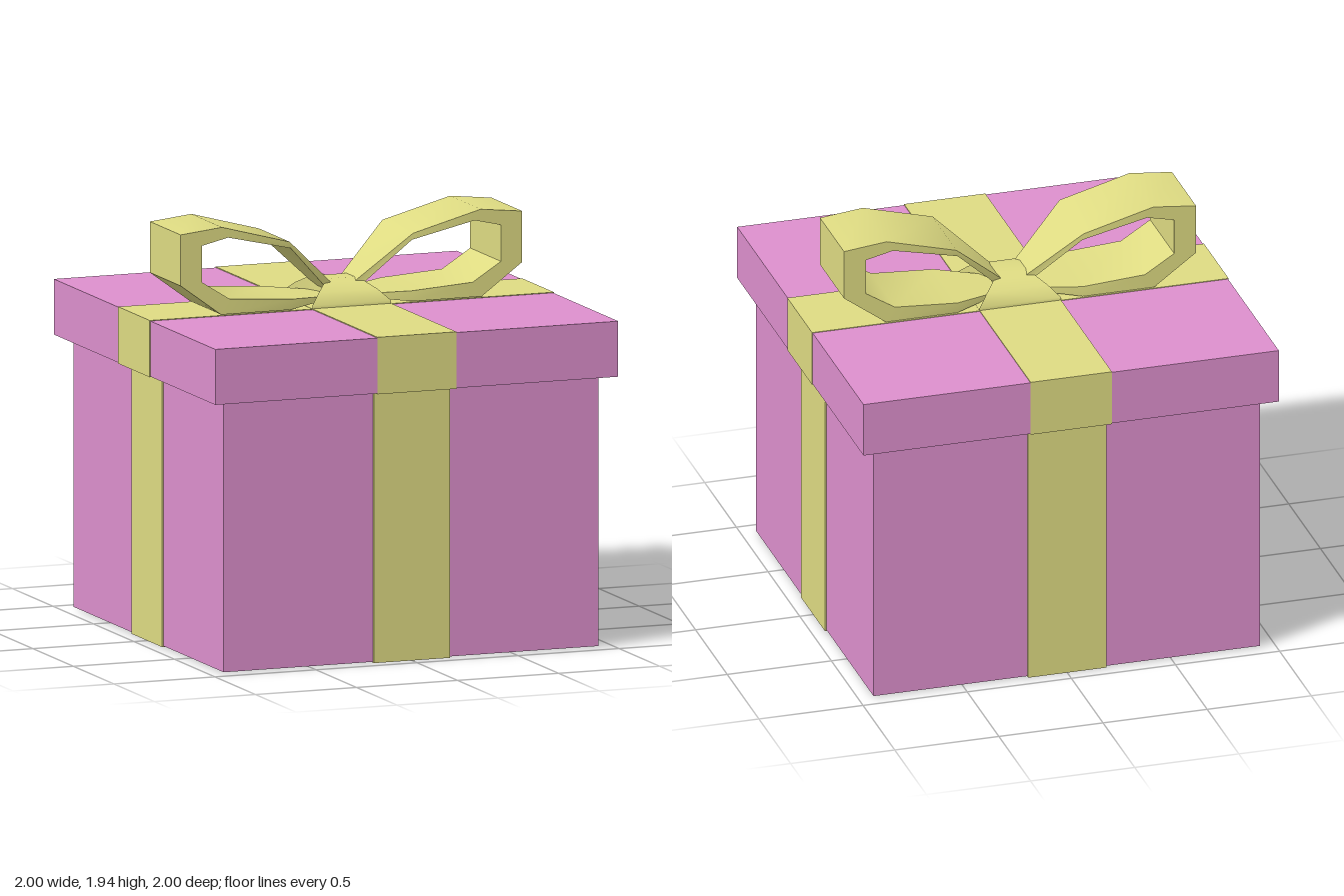
import * as THREE from 'three';
import { toCreasedNormals } from 'three/addons/utils/BufferGeometryUtils.js';

const pink = new THREE.MeshStandardMaterial({ color: 0xdd8fcd });
const yellow = new THREE.MeshStandardMaterial({ color: 0xdedb82 });

function box(parent, name, material, [x0, x1], [y0, y1], [z0, z1]) {
  const mesh = new THREE.Mesh(new THREE.BoxGeometry(x1 - x0, y1 - y0, z1 - z0), material);
  mesh.position.set((x0 + x1) / 2, (y0 + y1) / 2, (z0 + z1) / 2);
  mesh.name = name;
  parent.add(mesh);
  return mesh;
}

// Sweep a rectangular section; station = [outerX, outerY, innerX, innerY, halfWidth]
function band(stations, crease) {
  const pos = [], idx = [];
  for (const [ox, oy, ix, iy, w] of stations) {
    pos.push(ox, oy, w, ox, oy, -w, ix, iy, -w, ix, iy, w);
  }
  const last = (stations.length - 1) * 4;
  for (let s = 0; s < last; s += 4) {
    for (let k = 0; k < 4; k++) {
      const a = s + k, b = s + (k + 1) % 4;
      idx.push(a, a + 4, b + 4, a, b + 4, b);
    }
  }
  idx.push(0, 1, 2, 0, 2, 3, last, last + 2, last + 1, last, last + 3, last + 2);
  const g = new THREE.BufferGeometry();
  g.setAttribute('position', new THREE.Float32BufferAttribute(pos, 3));
  g.setIndex(idx);
  return toCreasedNormals(g, crease);
}

export function createModel() {
  const gift = new THREE.Group();
  gift.name = 'giftBox';

  // Box body with two ribbons wrapped right round it
  const B = 0.928, R = 0.936, W = 0.188;
  box(gift, 'body', pink, [-B, B], [0.005, 1.5], [-B, B]);
  box(gift, 'bodyRibbonFrontBack', yellow, [-W, W], [0, 1.49], [-R, R]);
  box(gift, 'bodyRibbonSides', yellow, [-R, R], [0.001, 1.49], [-W, W]);

  // Hollow lid: top plate and a thin rim
  const lid = new THREE.Group();
  lid.name = 'lid';
  gift.add(lid);
  const L = 0.997, inner = 0.965;
  box(lid, 'lidTop', pink, [-L, L], [1.49, 1.527], [-L, L]);
  const square = (C, r) => new C([[-r, -r], [r, -r], [r, r], [-r, r]].map(p => new THREE.Vector2(...p)));
  const rimShape = square(THREE.Shape, L);
  rimShape.holes.push(square(THREE.Path, inner));
  const rim = new THREE.Mesh(
    new THREE.ExtrudeGeometry(rimShape, { depth: 0.222, bevelEnabled: false }).rotateX(-Math.PI / 2), pink);
  rim.position.y = 1.268;
  rim.name = 'lidRim';
  lid.add(rim);

  // Lid ribbons: one strip each way over the top, folded down the rim
  for (let i = 0; i < 2; i++) {
    const strip = new THREE.Group();
    strip.name = i ? 'lidRibbonSides' : 'lidRibbonFrontBack';
    const w = 0.195, top = 1.531 - i * 0.001;
    box(strip, 'ribbonTop', yellow, [-w, w], [1.51, top], [-1, 1]);
    for (const s of [-1, 1]) {
      box(strip, 'ribbonEnd', yellow, [-w, w], [1.265, 1.515], s > 0 ? [0.98, 1] : [-1, -0.98]);
    }
    strip.rotation.y = i * Math.PI / 2;
    lid.add(strip);
  }

  // Bow: two loops pinched towards the knot
  const bow = new THREE.Group();
  bow.name = 'bow';
  gift.add(bow);
  const loop = band([
    [0.05, 1.62, 0.07, 1.59, 0.085],
    [0.305, 1.85, 0.30, 1.82, 0.19],
    [0.64, 1.94, 0.61, 1.89, 0.19],
    [0.845, 1.918, 0.74, 1.86, 0.19],
    [0.845, 1.68, 0.74, 1.69, 0.19],
    [0.645, 1.533, 0.60, 1.602, 0.19],
    [0.30, 1.533, 0.30, 1.582, 0.19],
    [0.05, 1.555, 0.05, 1.565, 0.085],
  ], 0.85);
  for (const [name, turn] of [['leftLoop', 0], ['rightLoop', Math.PI]]) {
    const mesh = new THREE.Mesh(loop, yellow);
    mesh.rotation.y = turn;
    mesh.name = name;
    bow.add(mesh);
  }

  // Knot: an arched strip, narrow in the middle and flared front and back
  const half = [[0.195, 1.545, 0.195], [0.15, 1.595, 0.145], [0.10, 1.627, 0.10], [0.05, 1.64, 0.072]];
  const arch = [...half.map(([z, y, w]) => [-z, y, w]), ...half.slice().reverse()];
  const knot = new THREE.Mesh(band(arch.map(([z, y, w]) => [z, y, z, 1.528, w]), 0.85), yellow);
  knot.rotation.y = Math.PI / 2;
  knot.name = 'knot';
  bow.add(knot);

  return gift;
}
